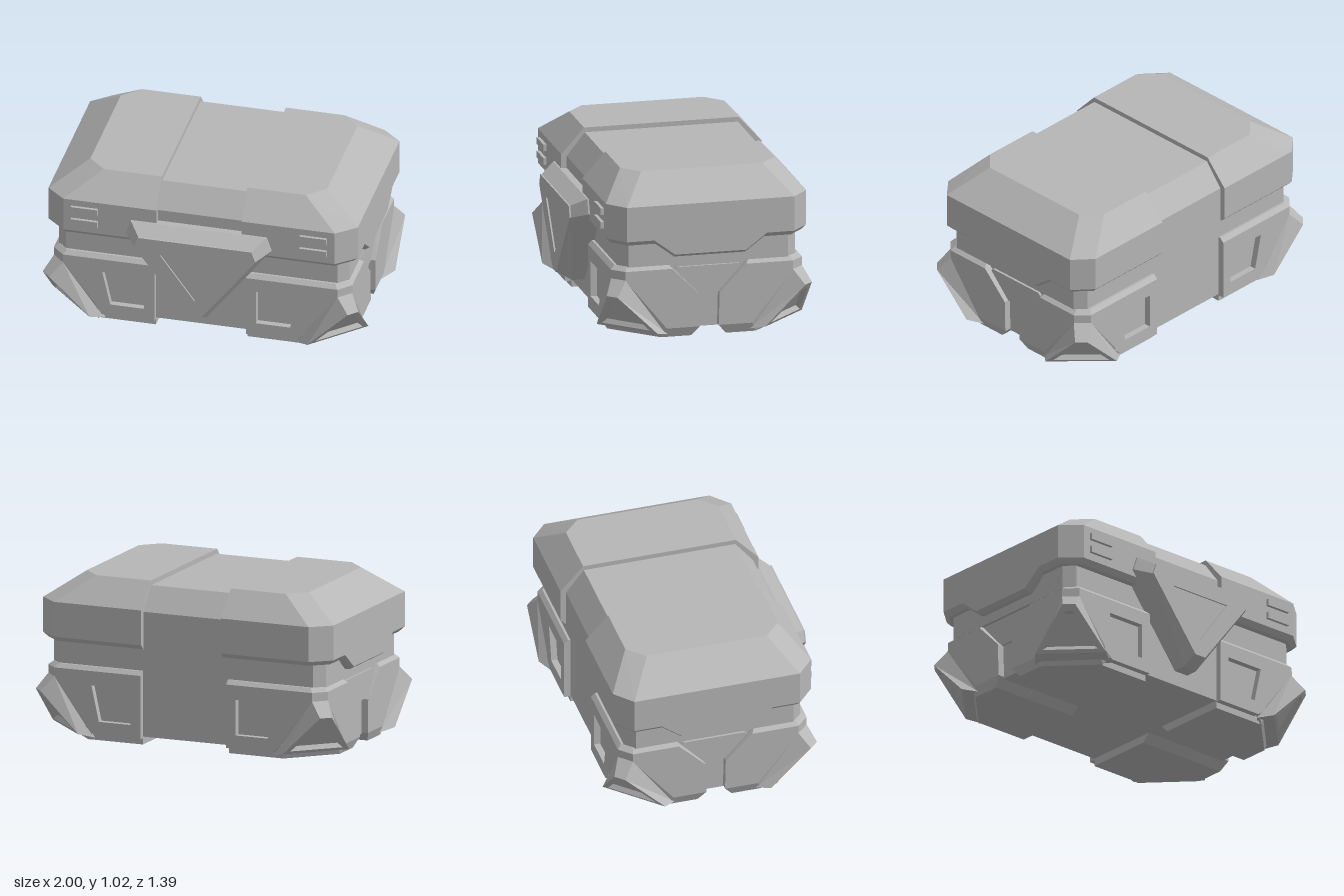
import * as THREE from 'three';
import { ConvexGeometry } from 'three/addons/geometries/ConvexGeometry.js';

const metal = new THREE.MeshStandardMaterial({ color: 0xb6b6b6 });
metal.name = 'grey metal';

const v3 = (p) => new THREE.Vector3(...p);
const hull = (points) => new ConvexGeometry(points.map(v3));

// Octagonal ring of points with cut corners
function octagon(y, hx, hz, cx, cz = cx) {
  const pts = [];
  for (const sx of [-1, 1]) for (const sz of [-1, 1]) {
    pts.push([sx * (hx - cx), y, sz * hz], [sx * hx, y, sz * (hz - cz)]);
  }
  return pts;
}

// Points repeated on both sides of z = 0
const bothZ = (pts) => pts.flatMap(([x, y, z]) => [[x, y, z], [x, y, -z]]);
const bothX = (pts) => pts.flatMap(([x, y, z]) => [[x, y, z], [-x, y, z]]);

// Flat plate with an opening, extruded along +z
function plate(outline, hole, depth) {
  const shape = new THREE.Shape(outline.map(([x, y]) => new THREE.Vector2(x, y)));
  if (hole) shape.holes.push(new THREE.Path(hole.map(([x, y]) => new THREE.Vector2(x, y))));
  return new THREE.ExtrudeGeometry(shape, { depth, bevelEnabled: false });
}

// Nested four-cornered loops joined by quads, closed at the last loop
function loft(rings) {
  const pos = [];
  const quad = (a, b, c, d) => pos.push(...a, ...b, ...c, ...a, ...c, ...d);
  for (let r = 0; r < rings.length - 1; r++) {
    for (let i = 0; i < 4; i++) {
      const j = (i + 1) % 4;
      quad(rings[r][i], rings[r][j], rings[r + 1][j], rings[r + 1][i]);
    }
  }
  quad(...rings[rings.length - 1]);
  const g = new THREE.BufferGeometry();
  g.setAttribute('position', new THREE.Float32BufferAttribute(pos, 3));
  g.computeVertexNormals();
  return g;
}

// Mirrored copy with the winding kept outward
function mirrored(geometry, sx, sz) {
  const g = geometry.index ? geometry.toNonIndexed() : geometry.clone();
  g.scale(sx, 1, sz);
  if (sx * sz < 0) {
    const p = g.attributes.position;
    const a = new THREE.Vector3(), b = new THREE.Vector3();
    for (let i = 0; i < p.count; i += 3) {
      a.fromBufferAttribute(p, i + 1);
      b.fromBufferAttribute(p, i + 2);
      p.setXYZ(i + 1, b.x, b.y, b.z);
      p.setXYZ(i + 2, a.x, a.y, a.z);
    }
  }
  g.computeVertexNormals();
  return g;
}

export function createModel() {
  const model = new THREE.Group();
  model.name = 'armouredChest';
  const chest = new THREE.Group();
  chest.name = 'chest';
  chest.position.z = -0.045;
  model.add(chest);
  const add = (name, geometry, parent = chest) => {
    const mesh = new THREE.Mesh(geometry, metal);
    mesh.name = name;
    parent.add(mesh);
    return mesh;
  };

  // Inner tub
  add('upperBody', hull([...octagon(0.63, 0.92, 0.565, 0.06), ...octagon(0.46, 0.92, 0.565, 0.06)]));
  add('lowerBody', hull([...octagon(0.47, 0.9, 0.565, 0.3), ...octagon(0.05, 0.9, 0.565, 0.3)]));

  // Lid: recessed middle band and two raised ends
  add('lidMiddle', hull(bothZ(bothX([
    [0.28, 0.99, 0.485], [0.28, 0.845, 0.6], [0.28, 0.61, 0.6],
  ]))));
  const lidEnd = hull(bothZ([
    [0.27, 1.02, 0.49], [0.64, 1.02, 0.49], [0.75, 1.02, 0.385],
    [0.27, 0.86, 0.635], [0.86, 0.86, 0.635], [0.98, 0.86, 0.53],
    [0.27, 0.64, 0.635], [0.86, 0.64, 0.635], [0.98, 0.64, 0.53],
    [0.27, 0.61, 0.605], [0.85, 0.61, 0.605], [0.95, 0.61, 0.515],
  ]));
  const lidSkirt = hull(bothZ([
    [0.98, 0.65, 0.37], [0.98, 0.64, 0.355], [0.98, 0.54, 0.225], [0.95, 0.52, 0.225],
    [0.95, 0.61, 0.345], [0.9, 0.52, 0.225], [0.9, 0.65, 0.37],
  ]));

  // Panel sunk between the feet on each side
  const sidePanel = plate([[-0.065, 0.27], [0.065, 0.27], [0.21, 0.425], [0.195, 0.44], [-0.195, 0.44], [-0.21, 0.425]], null, 0.02);
  sidePanel.rotateY(Math.PI / 2).translate(0.895, 0, 0);

  for (const sx of [1, -1]) {
    const side = sx > 0 ? 'left' : 'right';
    add(side + 'LidEnd', mirrored(lidEnd, sx, 1));
    add(side + 'LidSkirt', mirrored(lidSkirt, sx, 1));
    add(side + 'SidePanel', mirrored(sidePanel, sx, 1));
    // Pair of small tabs on the lid front
    for (const y of [0.71, 0.797]) {
      const tab = add(side + 'LidTab', new THREE.BoxGeometry(0.17, 0.043, 0.04));
      tab.position.set(sx * 0.725, y, 0.635);
    }
  }

  // Foot: inner block, facing plate with a window, sloped top strip and outer block
  const footInner = hull([0.29, 0.66].flatMap((x) => [
    [x, 0.465, 0.565], [x, 0, 0.565], [x, 0, 0.11], [x, 0.05, 0.06], [x, 0.27, 0.065], [x, 0.465, 0.255],
  ]));
  const footFace = plate(
    [[0.29, 0.04], [0.6, 0.04], [0.66, 0.09], [0.66, 0.4], [0.29, 0.4]],
    [[0.355, 0.125], [0.57, 0.125], [0.62, 0.35], [0.355, 0.35]], 0.04,
  ).translate(0, 0, 0.565);
  const footTop = hull([0.29, 0.66].flatMap((x) => [
    [x, 0.465, 0.5], [x, 0.465, 0.58], [x, 0.44, 0.605], [x, 0.4, 0.605], [x, 0.4, 0.5],
  ]));
  const footOuter = hull([
    [0.65, 0.465, 0.58], [0.85, 0.465, 0.58], [0.91, 0.465, 0.52], [0.91, 0.465, 0.255], [0.65, 0.465, 0.255],
    [0.65, 0.44, 0.605], [0.87, 0.44, 0.605], [0.945, 0.44, 0.53], [0.945, 0.44, 0.235],
    [0.87, 0.38, 0.605], [0.945, 0.38, 0.53],
    [0.945, 0.27, 0.065], [0.945, 0.06, 0.06], [0.65, 0.27, 0.065], [0.65, 0.06, 0.06],
    [0.65, 0.1, 0.605], [0.61, 0.06, 0.605], [0.945, 0.06, 0.27],
    [0.65, 0, 0.575], [0.92, 0, 0.3], [0.92, 0, 0.11], [0.65, 0, 0.11],
  ]);

  // Corner guard: bulging facets around a sunken triangular face
  const rim = [[0.945, 0.295, 0.65], [0.69, 0.045, 0.65], [1, 0.045, 0.34], [1, 0.295, 0.595]];
  const centre = [0.89, 0.13, 0.545];
  const inset = (k, d) => rim.map((p) => {
    const q = p.map((c, i) => centre[i] + (c - centre[i]) * k);
    return [q[0] - 0.57 * d, q[1] + 0.593 * d, q[2] - 0.57 * d];
  });
  const cornerGuard = loft([
    [[0.87, 0.385, 0.605], [0.6, 0.02, 0.59], [0.93, 0.02, 0.26], [0.945, 0.385, 0.53]],
    rim, inset(0.78, 0), inset(0.66, 0.03),
  ]);

  const footParts = { footInner, footFace, footTop, footOuter, cornerGuard };
  for (const sx of [1, -1]) for (const sz of [1, -1]) {
    const foot = new THREE.Group();
    foot.name = (sz > 0 ? 'front' : 'back') + (sx > 0 ? 'Left' : 'Right') + 'Foot';
    for (const [name, g] of Object.entries(footParts)) add(name, mirrored(g, sx, sz), foot);
    chest.add(foot);
  }

  // Clasp: bevelled triangular shield with a sunken triangle
  const clasp = new THREE.Group();
  clasp.name = 'clasp';
  const outer = [[0.43, 0.77], [0.46, 0.68], [0.05, 0.145]];
  const face = [[0.36, 0.715], [0.385, 0.645], [0.04, 0.2]];
  const at = (pts, z) => bothX(pts.map(([x, y]) => [x, y, z]));
  add('claspBody', hull([...at(outer, 0.5), ...at(outer, 0.6), ...at(face, 0.69)]), clasp);
  const outline = [...face.map(([x, y]) => [-x, y]), ...face.slice().reverse()];
  const claspFace = plate(outline, [[-0.22, 0.61], [0.22, 0.61], [0, 0.31]], 0.01);
  add('claspFace', claspFace.translate(0, 0, 0.69), clasp);
  model.add(clasp);

  return model;
}
